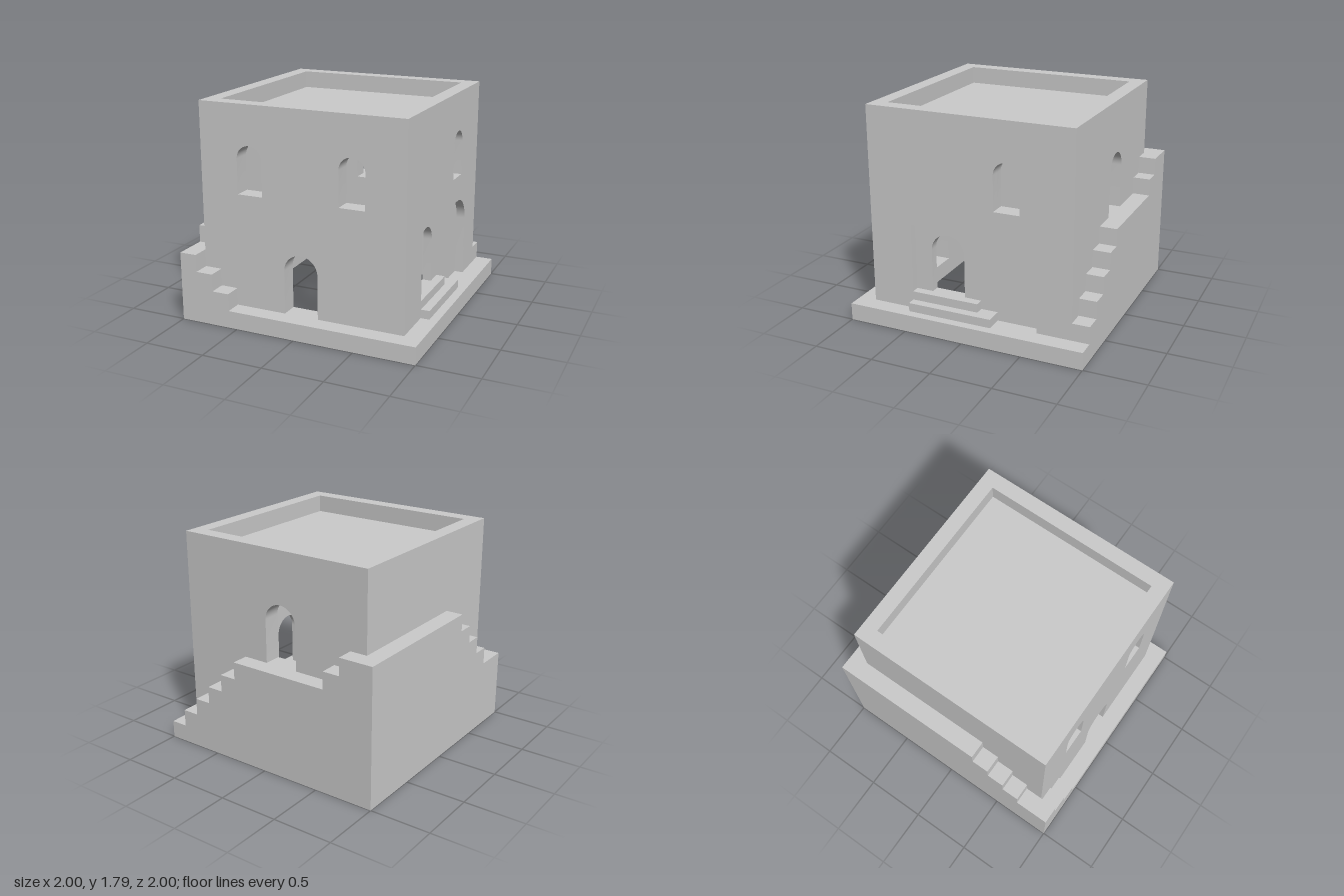
import * as THREE from 'three';
import { toCreasedNormals } from 'three/addons/utils/BufferGeometryUtils.js';

// All dimensions are in modules; 14 modules = 1 unit.
const M = 1 / 14;

export function createModel() {
  const group = new THREE.Group();
  const material = new THREE.MeshStandardMaterial({ color: 0xcccccc });

  function add(name, geometry) {
    geometry.scale(M, M, M);
    const mesh = new THREE.Mesh(toCreasedNormals(geometry, 0.5), material);
    mesh.name = name;
    group.add(mesh);
  }

  const extrude = (shape, depth) =>
    new THREE.ExtrudeGeometry(shape, { depth, bevelEnabled: false, curveSegments: 16 });

  // Slab in the XY plane, reaching from z0 to z1
  const alongX = (name, shape, z0, z1) =>
    add(name, extrude(shape, z1 - z0).translate(0, 0, z0));

  // Slab in the ZY plane (shape u = -z), reaching from x0 to x1
  const alongZ = (name, shape, x0, x1) =>
    add(name, extrude(shape, x1 - x0).rotateY(Math.PI / 2).translate(x0, 0, 0));

  function box(name, x0, x1, y0, y1, z0, z1) {
    add(name, new THREE.BoxGeometry(x1 - x0, y1 - y0, z1 - z0)
      .translate((x0 + x1) / 2, (y0 + y1) / 2, (z0 + z1) / 2));
  }

  function rect(u0, u1, v0, v1) {
    return new THREE.Shape([[u0, v0], [u1, v0], [u1, v1], [u0, v1]]
      .map(([u, v]) => new THREE.Vector2(u, v)));
  }

  // Round-headed opening
  function arch(center, half, bottom, top) {
    const p = new THREE.Path();
    p.moveTo(center - half, bottom);
    p.lineTo(center + half, bottom);
    p.lineTo(center + half, top - half);
    p.absarc(center, top - half, half, 0, Math.PI, false);
    p.closePath();
    return p;
  }

  function wall(half, holes) {
    const s = rect(-half, half, 0, 23);
    s.holes.push(...holes);
    return s;
  }

  // Stepped silhouette from a start and a list of [end, height]
  function stepped(start, steps) {
    const s = new THREE.Shape();
    s.moveTo(start, 0);
    let u = start;
    for (const [end, height] of steps) {
      s.lineTo(u, height);
      s.lineTo(end, height);
      u = end;
    }
    s.lineTo(u, 0);
    s.closePath();
    return s;
  }

  // Walls
  alongX('frontWall', wall(12, [
    arch(0, 2, 2, 9), arch(-6, 1.5, 15, 20.5), arch(6, 1.5, 15, 20.5),
  ]), 10, 12);
  alongX('backWall', wall(12, [arch(-1, 2, 12, 19)]), -12, -10);
  alongZ('rightWall', wall(10, []), -12, -10);

  // Left wall in two layers: the outer one is cut by the recess
  const recess = new THREE.Path();
  recess.moveTo(-7, 2);
  recess.lineTo(8, 2);
  recess.lineTo(8, 9);
  recess.absarc(5, 9, 3, 0, Math.PI / 2, false);
  recess.lineTo(-7, 12);
  recess.closePath();
  const sideWindow = () => arch(4.5, 1.5, 15, 20.5);
  alongZ('leftWallInner', wall(10, [arch(-3, 2, 4, 11), sideWindow()]), 10, 11);
  alongZ('leftWallOuter', wall(10, [recess, sideWindow()]), 11, 12);

  // Doorsteps in the recess
  box('lowerDoorstep', 11, 13, 2, 3, -3, 7);
  box('upperDoorstep', 11, 12, 3, 4, -1, 7);

  // Roof and parapet
  box('roof', -10, 10, 21, 23, -10, 10);
  const parapet = rect(-12, 12, -12, 12);
  parapet.holes.push(rect(-10.29, 10.29, -10.29, 10.29));
  add('parapet', extrude(parapet, 2).rotateX(-Math.PI / 2).translate(0, 23, 0));

  // Plinth and the staircase that wraps around the house
  alongX('frontSteps', stepped(-14, [[-12, 8], [-10, 6], [-8, 4], [14, 2]]), 12, 14);
  alongZ('rightStairs', stepped(-12, [[-10, 8], [-8, 10], [-6, 12], [-4, 14], [12, 16]]), -14, -12);
  alongX('backStairs', stepped(-14, [
    [-10, 16], [-8, 14], [4, 12], [6, 10], [8, 8], [10, 6], [12, 4], [14, 2],
  ]), -14, -12);
  box('leftPlinth', 12, 14, 0, 2, -12, 12);

  return group;
}
